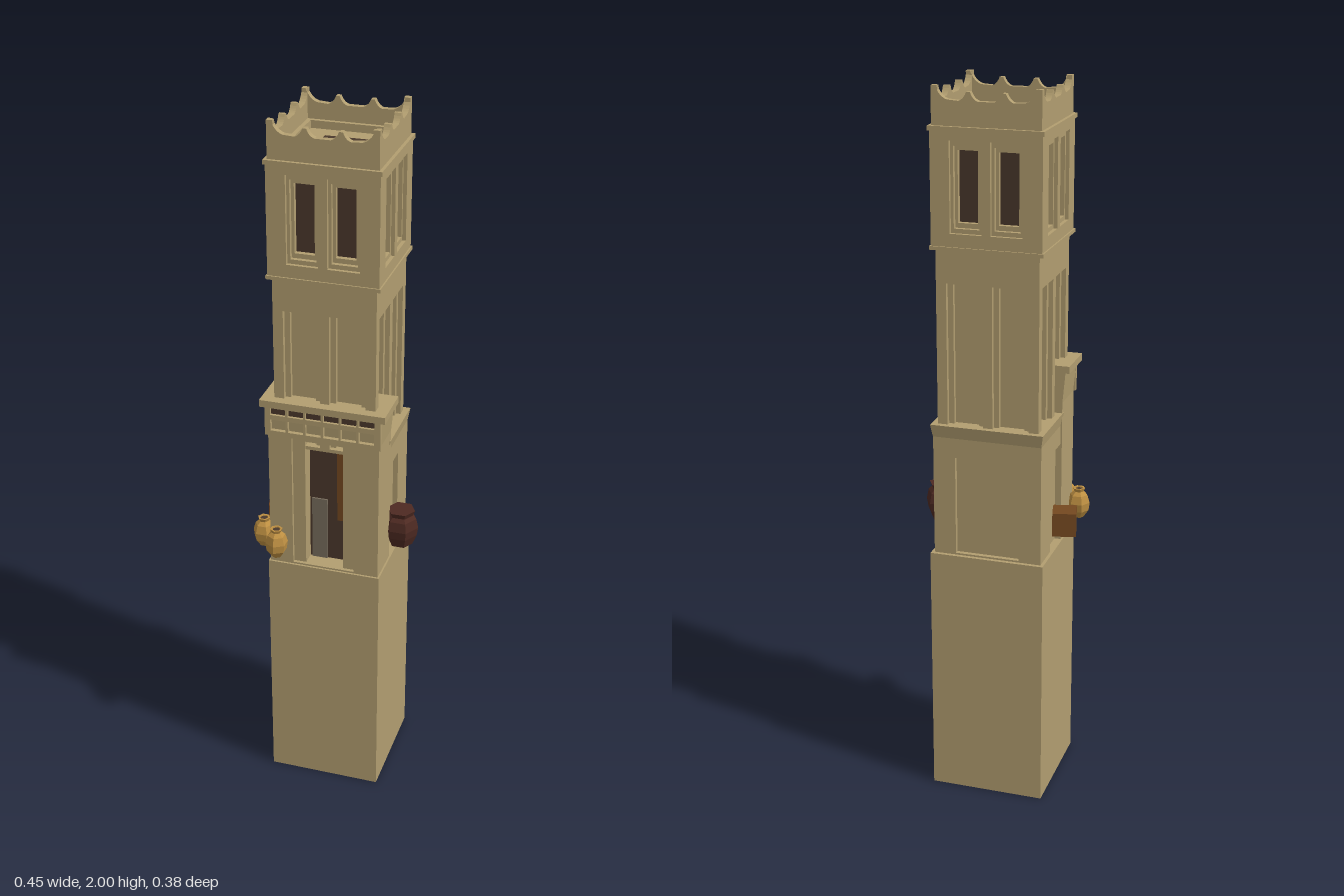
import * as THREE from 'three';

const mat = (name, color) => {
  const m = new THREE.MeshStandardMaterial({ color });
  m.name = name;
  return m;
};

export function createModel() {
  const stone = mat('sandstone', 0xb29e70);
  const dark = mat('dark interior', 0x4a382c);
  const gold = mat('golden clay', 0xbd8f42);
  const red = mat('dark red clay', 0x4e2a22);
  const wood = mat('brown wood', 0x744820);
  const grey = mat('grey door', 0x776c5c);

  const root = new THREE.Group();
  root.name = 'tower';
  // Everything square is built round the tower axis
  const tower = new THREE.Group();
  tower.name = 'towerBody';
  tower.position.set(-0.009, 0, -0.026);
  root.add(tower);

  const add = (parent, name, geo, material) => {
    const m = new THREE.Mesh(geo, material);
    m.name = name;
    parent.add(m);
    return m;
  };
  // Box given by its lower and upper limits
  const box = (name, x0, x1, y0, y1, z0, z1, material = stone, parent = tower) => {
    const m = add(parent, name, new THREE.BoxGeometry(x1 - x0, y1 - y0, z1 - z0), material);
    m.position.set((x0 + x1) / 2, (y0 + y1) / 2, (z0 + z1) / 2);
    return m;
  };
  const slab = (name, half, y0, y1, material = stone) =>
    box(name, -half, half, y0, y1, -half, half, material);
  // Box whose top spreads outwards by a margin on the chosen sides
  const flare = (name, x0, x1, y0, y1, z0, z1, out, outFront, outBack) => {
    const m = box(name, x0, x1, y0, y1, z0, z1);
    const g = m.geometry.toNonIndexed();
    const p = g.attributes.position;
    for (let i = 0; i < p.count; i++) {
      if (p.getY(i) < 0) continue;
      p.setX(i, p.getX(i) + Math.sign(p.getX(i)) * out);
      p.setZ(i, p.getZ(i) + (p.getZ(i) > 0 ? outFront : -outBack));
    }
    g.computeVertexNormals();
    m.geometry = g;
    return m;
  };
  // Flat wall with rectangular holes [x0, x1, y0, y1]
  const wallGeo = (x0, x1, y0, y1, depth, holes) => {
    const rect = (T, a, b, c, d) => {
      const s = new T();
      s.moveTo(a, c); s.lineTo(b, c); s.lineTo(b, d); s.lineTo(a, d); s.closePath();
      return s;
    };
    const shape = rect(THREE.Shape, x0, x1, y0, y1);
    holes.forEach(h => shape.holes.push(rect(THREE.Path, ...h)));
    return new THREE.ExtrudeGeometry(shape, { depth, bevelEnabled: false });
  };
  // Same wall on all four sides
  const fourSides = (name, geo, z) => {
    for (let k = 0; k < 4; k++) {
      const side = new THREE.Group();
      side.name = name + 'Side';
      side.rotation.y = k * Math.PI / 2;
      add(side, name, geo, stone).position.z = z;
      tower.add(side);
    }
  };
  const pair = (c, half, y0, y1) => [-1, 1].map(s => [s * c - half, s * c + half, y0, y1]);

  // Plain base
  slab('base', 0.161, 0, 0.725);

  // Entrance storey: rear block with recessed doors
  box('storeyCore', -0.138, 0.138, 0.725, 1.1, -0.137, 0.1);
  add(tower, 'rearDoorWall', wallGeo(-0.15, 0.15, 0.725, 1.07, 0.013, [[-0.09, 0.09, 0.73, 1.01]]), stone)
    .position.z = -0.15;
  for (const s of [-1, 1]) {
    const [a, b] = s < 0 ? [-0.152, -0.137] : [0.137, 0.152];
    box('sideWall', a, b, 0.725, 1.07, -0.15, -0.055);
    box('sideLintel', a, b, 1.01, 1.07, -0.055, 0.05);
  }
  flare('rearCornice', -0.152, 0.152, 1.065, 1.1, -0.151, 0.05, 0.006, 0, 0.006);

  // Porch with a tall doorway
  box('porchRear', -0.156, 0.156, 0.725, 1.13, 0.038, 0.1);
  add(tower, 'porchFrontWall', wallGeo(-0.156, 0.156, 0.725, 1.13, 0.042, [[-0.09, 0.087, 0.73, 1.125]]), stone)
    .position.z = 0.113;
  add(tower, 'doorFrame', wallGeo(-0.156, 0.156, 0.725, 1.13, 0.045, [[-0.055, 0.053, 0.73, 1.115]]), stone)
    .position.z = 0.1;
  box('doorwayInterior', -0.06, 0.06, 0.73, 1.12, 0.1, 0.104, dark);
  box('doorLeaf', -0.048, -0.004, 0.73, 0.92, 0.104, 0.109, grey);
  box('doorPlank', 0.025, 0.05, 0.86, 1.08, 0.104, 0.109, wood);

  // Porch cornice with a row of slots above a row of panels
  flare('porchCornice', -0.156, 0.156, 1.13, 1.218, 0.038, 0.15, 0.008, 0.004, 0);
  const slots = [];
  for (let i = 0; i < 6; i++) {
    const x = -0.146 + i * 0.0495;
    slots.push([x, x + 0.043, 1.192, 1.214], [x, x + 0.043, 1.145, 1.178]);
  }
  add(tower, 'corniceFrieze', wallGeo(-0.162, 0.162, 1.13, 1.22, 0.012, slots), stone).position.z = 0.152;
  box('friezeShadowStrip', -0.15, 0.15, 1.19, 1.216, 0.15, 0.156, dark);
  box('porchCorniceTop', -0.175, 0.175, 1.215, 1.235, 0.038, 0.169);

  // Middle shaft with stepped tall niches
  slab('shaftCore', 0.116, 1.09, 1.59);
  fourSides('shaftOuterWall', wallGeo(-0.141, 0.141, 1.09, 1.59, 0.013, pair(0.063, 0.05, 1.1, 1.49)), 0.128);
  fourSides('shaftNiche', wallGeo(-0.128, 0.128, 1.09, 1.59, 0.013, pair(0.063, 0.035, 1.1, 1.485)), 0.115);

  // Belfry with stepped twin windows
  slab('belfryInterior', 0.113, 1.6, 1.885, dark);
  fourSides('belfryWall', wallGeo(-0.15, 0.15, 1.585, 1.895, 0.01, pair(0.055, 0.043, 1.625, 1.865)), 0.14);
  fourSides('windowFrame', wallGeo(-0.14, 0.14, 1.59, 1.895, 0.012, pair(0.055, 0.035, 1.637, 1.85)), 0.128);
  fourSides('windowInnerFrame', wallGeo(-0.128, 0.128, 1.59, 1.895, 0.014, pair(0.055, 0.027, 1.65, 1.838)), 0.114);
  slab('belfryFootTrim', 0.154, 1.58, 1.59);
  slab('belfryTopTrim', 0.155, 1.888, 1.9);

  // Roof: raised rim and dark hatch
  const rim = add(tower, 'roofRim', wallGeo(-0.135, 0.135, -0.135, 0.135, 0.022, [[-0.117, 0.117, -0.117, 0.117]]), stone);
  rim.rotation.x = -Math.PI / 2;
  rim.position.y = 1.899;
  box('roofHatch', -0.059, 0.059, 1.9, 1.904, -0.059, 0.059, dark);

  // Parapet with curved merlons
  const crest = new THREE.Shape();
  const e = 0.146;
  crest.moveTo(-e, 1.9);
  crest.lineTo(e, 1.9);
  crest.lineTo(e, 2);
  crest.lineTo(e - 0.012, 2);
  crest.quadraticCurveTo(e - 0.022, 1.972, e - 0.043, 1.966);
  for (const c of [0.047, -0.047]) {
    crest.lineTo(c + 0.026, 1.964);
    crest.quadraticCurveTo(c + 0.012, 1.968, c + 0.005, 1.987);
    crest.lineTo(c - 0.005, 1.987);
    crest.quadraticCurveTo(c - 0.012, 1.968, c - 0.026, 1.964);
  }
  crest.lineTo(-e + 0.043, 1.966);
  crest.quadraticCurveTo(-e + 0.022, 1.972, -e + 0.012, 2);
  crest.lineTo(-e, 2);
  crest.closePath();
  fourSides('parapet', new THREE.ExtrudeGeometry(crest, { depth: 0.017, bevelEnabled: false, curveSegments: 5 }), e - 0.017);

  // Six-sided clay vessels hung beside the porch
  const pot = (name, material, x, y, z, profile, turn) => {
    const pts = profile.map(([r, h]) => new THREE.Vector2(r, h));
    const g = new THREE.LatheGeometry(pts, 6).toNonIndexed();
    g.computeVertexNormals();
    const m = add(root, name, g, material);
    m.position.set(x, y, z);
    m.rotation.y = turn;
    return m;
  };
  const jug = [[0, 0], [0.014, 0], [0.029, 0.022], [0.032, 0.045], [0.025, 0.068], [0.014, 0.078], [0.018, 0.088], [0.012, 0.088], [0.01, 0.08]];
  for (const [x, z, turn] of [[-0.191, 0.107, Math.PI / 6], [-0.138, 0.156, 0]]) {
    pot('jug', gold, x, 0.76, z, jug, turn);
    const mouth = add(root, 'jugMouth', new THREE.CylinderGeometry(0.012, 0.012, 0.004, 6), dark);
    mouth.position.set(x, 0.843, z);
    mouth.rotation.y = turn;
  }
  pot('largePot', red, 0.173, 0.76, -0.016,
    [[0, 0], [0.034, 0], [0.046, 0.03], [0.05, 0.055], [0.044, 0.083], [0.034, 0.093], [0.04, 0.108], [0, 0.108]], Math.PI / 6);

  // Wooden crate
  const crate = box('crate', -0.033, 0.033, 0, 0.068, -0.033, 0.033, wood, root);
  crate.position.set(-0.185, 0.797, -0.022);
  crate.rotation.y = 0.24;

  return root;
}
